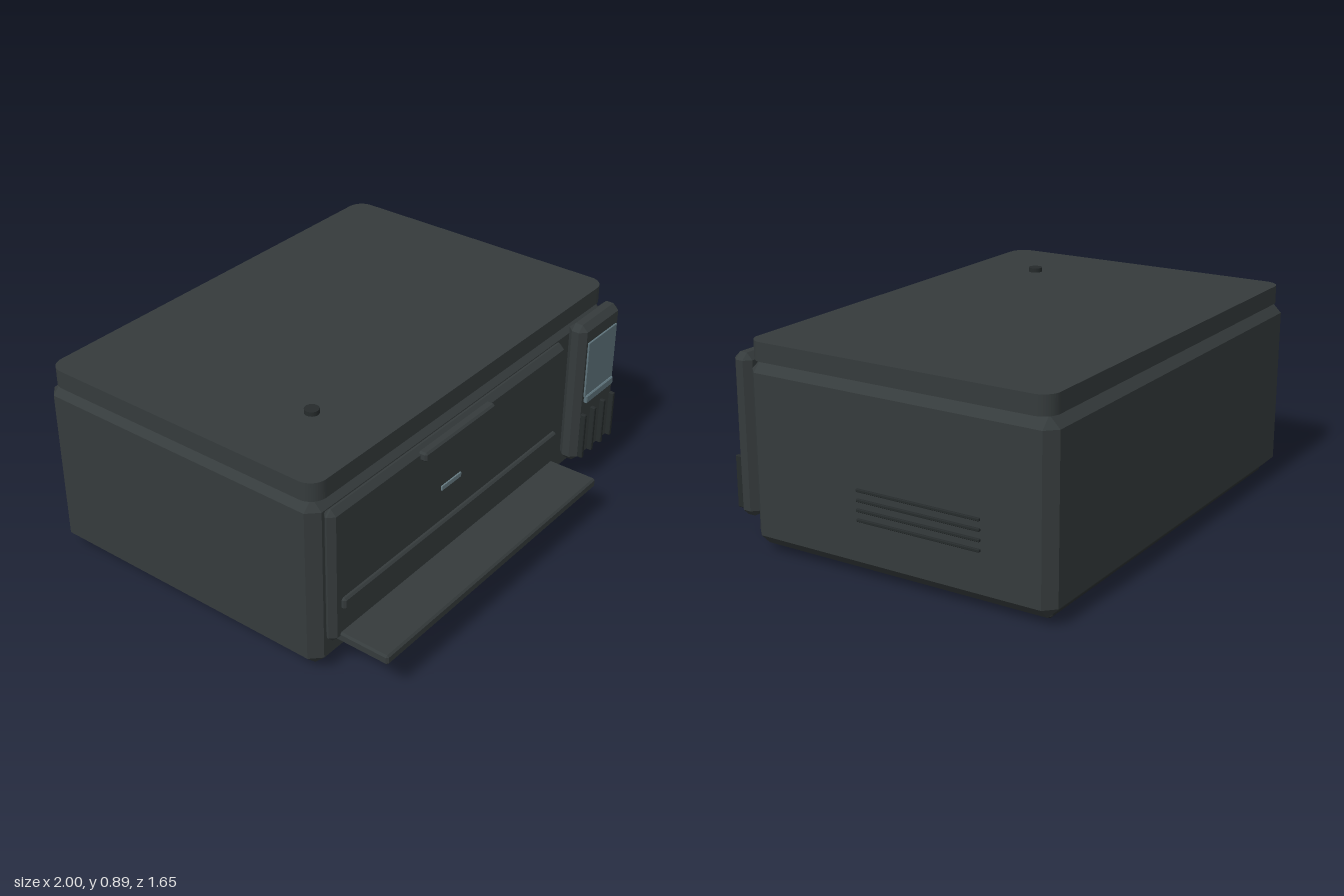
import * as THREE from 'three';
import { ConvexGeometry } from 'three/addons/geometries/ConvexGeometry.js';

const paint = (name, color) => {
  const m = new THREE.MeshStandardMaterial({ color });
  m.name = name;
  return m;
};

// Box given by its limits, with every edge chamfered by c
function chamferBox([x0, x1], [y0, y1], [z0, z1], c) {
  const h = [(x1 - x0) / 2, (y1 - y0) / 2, (z1 - z0) / 2];
  const points = [];
  for (const sx of [-1, 1]) for (const sy of [-1, 1]) for (const sz of [-1, 1]) {
    for (let axis = 0; axis < 3; axis++) {
      const p = h.map((v, i) => (i === axis ? v : v - c));
      points.push(new THREE.Vector3(sx * p[0], sy * p[1], sz * p[2]));
    }
  }
  return new ConvexGeometry(points).translate((x0 + x1) / 2, (y0 + y1) / 2, (z0 + z1) / 2);
}

// Slab with rounded vertical corners
function roundedSlab([x0, x1], [y0, y1], [z0, z1], r) {
  const s = new THREE.Shape();
  s.absarc(x1 - r, -z0 - r, r, 0, Math.PI / 2);
  s.absarc(x0 + r, -z0 - r, r, Math.PI / 2, Math.PI);
  s.absarc(x0 + r, -z1 + r, r, Math.PI, Math.PI * 1.5);
  s.absarc(x1 - r, -z1 + r, r, Math.PI * 1.5, Math.PI * 2);
  return new THREE.ExtrudeGeometry(s, { depth: y1 - y0, bevelEnabled: false, curveSegments: 6 })
    .rotateX(-Math.PI / 2).translate(0, y0, 0);
}

export function createModel() {
  const group = new THREE.Group();
  group.name = 'printer';
  const shell = paint('charcoal shell', 0x353b3c);
  const dark = paint('dark trim', 0x262b2c);
  const glass = paint('screen glass', 0x5f747c);
  const silver = paint('pale accent', 0x6a8087);

  const add = (name, geometry, material) => {
    const mesh = new THREE.Mesh(geometry, material);
    mesh.name = name;
    group.add(mesh);
    return mesh;
  };
  const block = (name, x, y, z, c, material) => add(name, chamferBox(x, y, z, c), material);

  // Case, base and lid
  block('body', [-1, 0.99], [0.03, 0.79], [-0.825, 0.555], 0.045, shell);
  block('base', [-0.92, 0.92], [0.014, 0.04], [-0.78, 0.48], 0.008, dark);
  add('lid', roundedSlab([-0.99, 0.98], [0.789, 0.868], [-0.805, 0.55], 0.07), shell);
  add('lidButton', new THREE.CylinderGeometry(0.03, 0.03, 0.02, 24).translate(-0.615, 0.877, 0.23), dark);

  // Feet
  for (const x of [-0.785, 0.775]) for (const z of [-0.615, 0.375]) {
    block('foot', [x - 0.055, x + 0.055], [0, 0.02], [z - 0.055, z + 0.055], 0.005, dark);
  }

  // Front door with handle, groove bar, badge plate and paper tray
  block('frontDoor', [-0.96, 0.595], [0.16, 0.76], [0.55, 0.605], 0.024, shell);
  block('doorHandle', [-0.435, 0.025], [0.71, 0.75], [0.59, 0.632], 0.008, shell);
  block('outputBar', [-0.91, 0.535], [0.305, 0.355], [0.59, 0.622], 0.008, shell);
  block('badgePlate', [-0.295, -0.165], [0.497, 0.52], [0.604, 0.611], 0.002, silver);
  block('paperTray', [-0.92, 0.54], [0.155, 0.198], [0.58, 0.826], 0.008, shell);

  // Control column with screen and ink windows
  block('controlColumn', [0.665, 0.97], [0.127, 0.803], [0.555, 0.643], 0.027, shell);
  block('screen', [0.702, 0.93], [0.455, 0.722], [0.642, 0.651], 0.002, glass);
  block('screenStrip', [0.705, 0.925], [0.425, 0.462], [0.642, 0.66], 0.004, glass);
  for (let i = 0; i < 4; i++) {
    const x = 0.703 + i * 0.079;
    block('inkWindow', [x - 0.009, x + 0.009], [0.15, 0.37], [0.635, 0.665], 0.003, dark);
  }

  // Side vents
  for (let i = 0; i < 4; i++) {
    const y = 0.247 + i * 0.04;
    block('sideVent', [0.98, 1], [y - 0.006, y + 0.006], [-0.525, 0.027], 0.002, dark);
  }
  return group;
}
